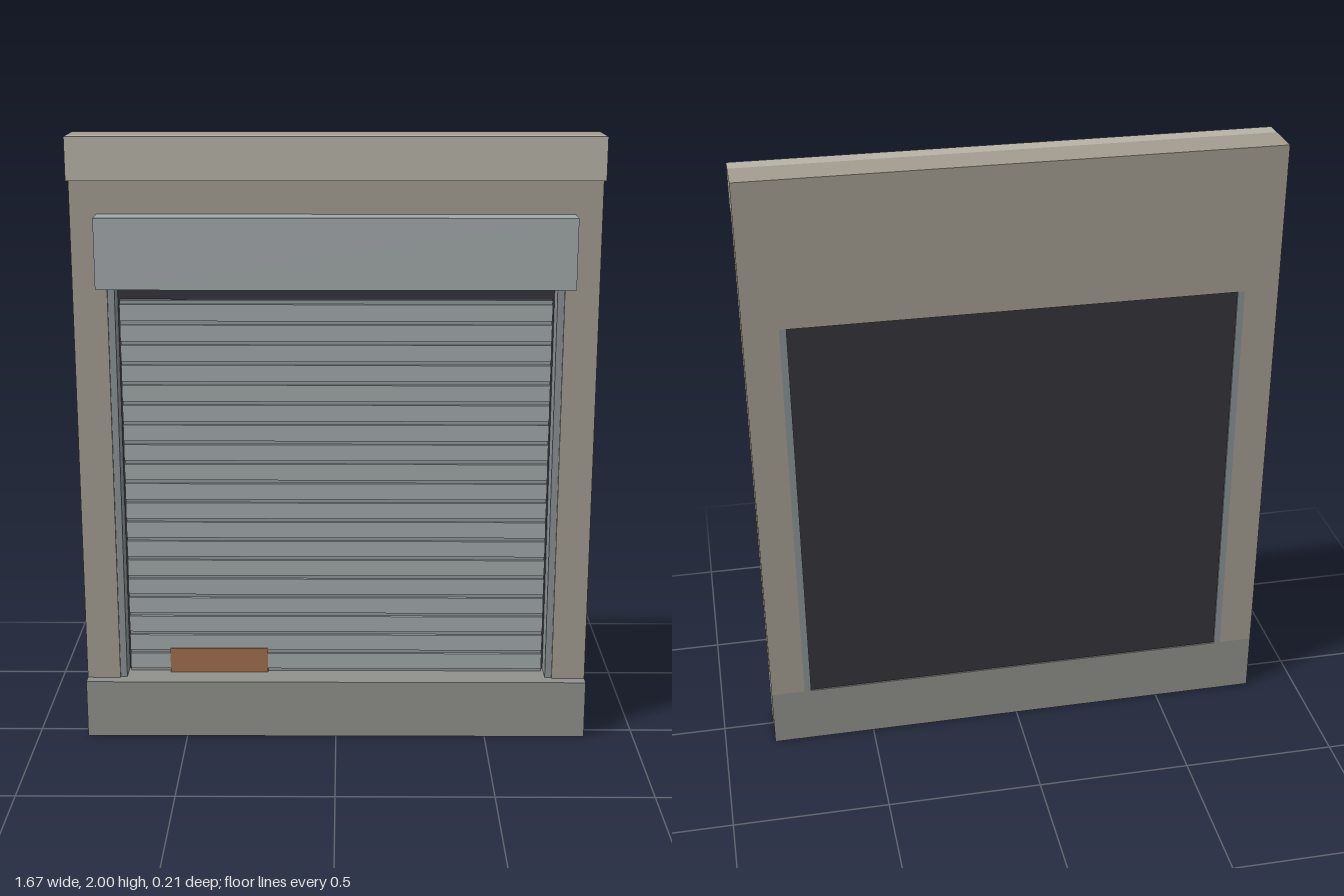
import * as THREE from 'three';

const material = (color) => new THREE.MeshStandardMaterial({ color });

// Box given by its extents on each axis
function block(name, mat, [x0, x1], [y0, y1], [z0, z1]) {
  const mesh = new THREE.Mesh(new THREE.BoxGeometry(x1 - x0, y1 - y0, z1 - z0), mat);
  mesh.position.set((x0 + x1) / 2, (y0 + y1) / 2, (z0 + z1) / 2);
  mesh.name = name;
  return mesh;
}

export function createModel() {
  const model = new THREE.Group();
  model.name = 'rollerShutter';

  const wallMat = material(0xa39c90);
  const lintelMat = material(0xb6b2a8);
  const sillMat = material(0x90908c);
  const metalMat = material(0xa2a8aa);
  const grooveMat = material(0x92989b);
  const railMat = material(0x8b9194);
  const darkMat = material(0x34343b);
  const plateMat = material(0xa06f4e);

  const W = 0.835, back = -0.105, front = 0.015;
  const open = 0.725, sillTop = 0.195, openTop = 1.53;

  // Wall surround: an arch-shaped frame standing on the sill
  const outline = new THREE.Shape([
    [-W, sillTop], [-open, sillTop], [-open, openTop], [open, openTop],
    [open, sillTop], [W, sillTop], [W, 2], [-W, 2],
  ].map(([x, y]) => new THREE.Vector2(x, y)));
  const wall = new THREE.Mesh(
    new THREE.ExtrudeGeometry(outline, { depth: front - back, bevelEnabled: false }), wallMat);
  wall.position.z = back;
  wall.name = 'wallSurround';
  model.add(wall);

  // Base, lintel and the box that houses the roll
  model.add(
    block('baseSill', sillMat, [-W, W], [0, sillTop], [back, 0.053]),
    block('lintel', lintelMat, [-W, W], [1.865, 2], [front, 0.07]),
    block('shutterBox', metalMat, [-0.75, 0.75], [openTop, 1.755], [front, 0.105]),
  );

  // Guide rails on both sides of the opening
  for (const [side, s] of [['left', 1], ['right', -1]]) {
    const x = [s * open, s * 0.703].sort((a, b) => a - b);
    model.add(block(side + 'GuideRail', railMat, x, [sillTop, openTop], [back, 0.008]));
  }

  // Dark interior behind the curtain
  model.add(block('darkInterior', darkMat, [-0.703, 0.703], [sillTop, openTop], [-0.1, -0.07]));

  // Curtain of slats, each with a set-back hinge strip above it
  const curtain = new THREE.Group();
  curtain.name = 'curtain';
  const pitch = 0.0665, slatH = 0.054, slatX = [-0.695, 0.695];
  for (let i = 0; i < 19; i++) {
    const y = 0.207 + i * pitch;
    curtain.add(
      block('slat', metalMat, slatX, [y, y + slatH], [-0.065, -0.038]),
      block('hingeStrip', grooveMat, slatX, [y + slatH, y + pitch], [-0.065, -0.048]),
    );
  }
  curtain.add(block('bottomStrip', grooveMat, slatX, [sillTop, 0.207], [-0.065, -0.048]));
  model.add(curtain);

  // Rusty patch plate low on the curtain
  model.add(block('patchPlate', plateMat, [-0.56, -0.23], [sillTop, 0.28], [-0.06, -0.034]));

  return model;
}
